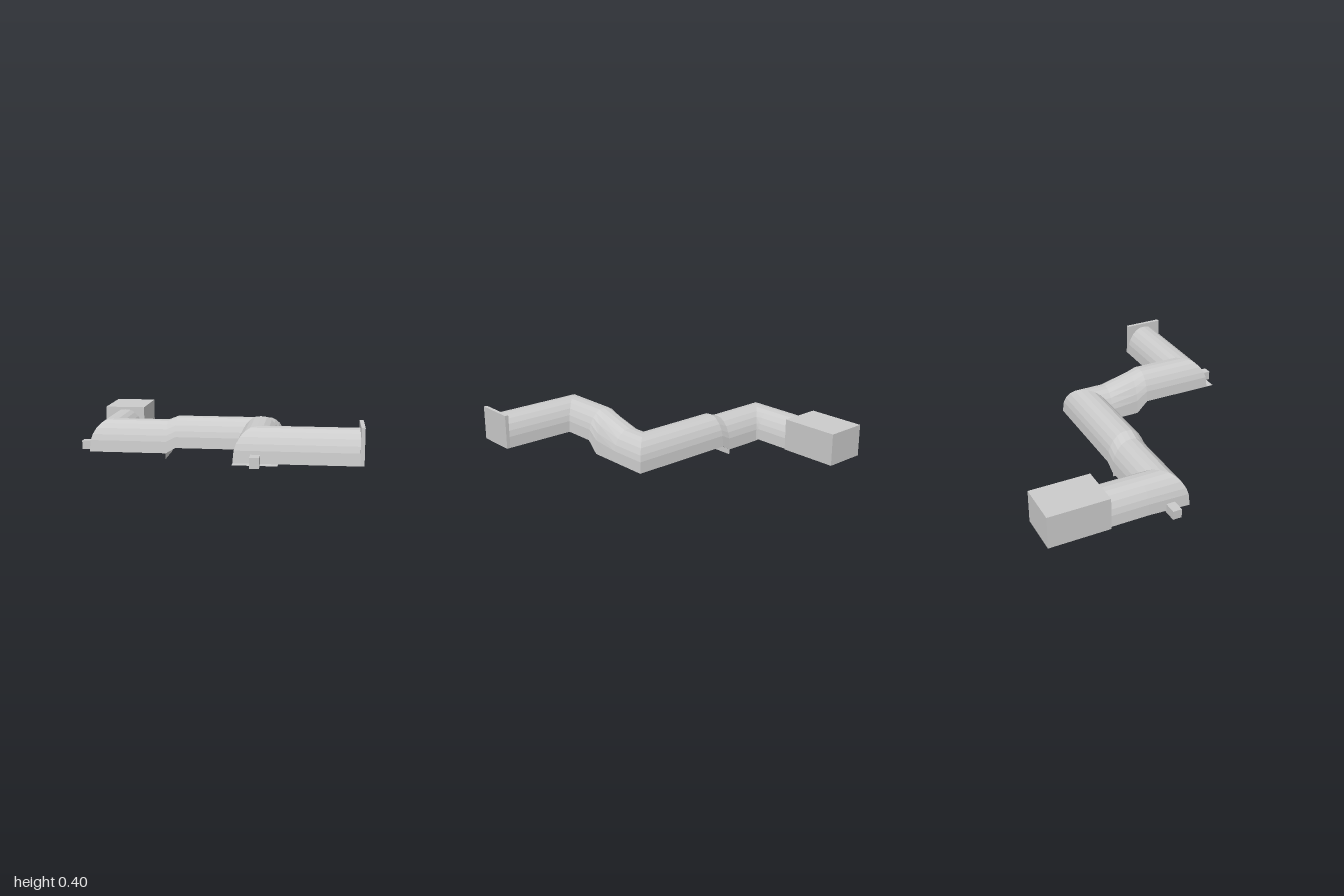
import * as THREE from 'three';

const material = new THREE.MeshStandardMaterial({ color: 0xcccccc, flatShading: true });
const sheet = new THREE.MeshStandardMaterial({ color: 0xcccccc, side: THREE.DoubleSide });

// Arch profile: across (-1..1) and height (0..1)
const half = [[1, 0], [0.95, 0.37], [0.86, 0.56], [0.7, 0.75], [0.5, 0.89], [0.28, 0.98]];
const profile = [...half, [0, 1], ...half.slice().reverse().map(([u, v]) => [-u, v])];
const HALF_WIDTH = 0.14;

// Stations along the passage: x, z, across direction (diagonal at mitred corners), floor, top
const stations = [
  [0.98, 0.705, 0, 1, 0.16, 0.37],
  [0.34, 0.705, -1, 1, 0.16, 0.37],
  [0.34, 0.33, -1, 0, 0.16, 0.37],
  [0.34, 0.25, -1, 0, 0.08, 0.347],
  [0.34, 0.05, -1, 0, 0.08, 0.29],
  [0.34, -0.095, -1, 1, 0.08, 0.29],
  [-0.29, -0.095, 0, 1, 0.08, 0.29],
  [-0.36, -0.095, 0, 1, 0.04, 0.262],
  [-0.775, -0.095, -1, 1, 0.04, 0.262],
  [-0.775, -0.25, -1, 0, 0.055, 0.262],
  [-0.775, -0.54, -1, 0, 0.055, 0.262],
];

// Lofts the closed arch section through all stations
function loftPassage() {
  const positions = [];
  const indices = [];
  const n = profile.length;
  stations.forEach(([x, z, ax, az, floor, top], i) => {
    profile.forEach(([u, v], j) => {
      const w = u * HALF_WIDTH;
      positions.push(x + ax * w, floor + v * (top - floor), z + az * w);
      if (i === stations.length - 1) return;
      const k = (j + 1) % n;
      const a = i * n + j, b = i * n + k, c = b + n, d = a + n;
      indices.push(a, b, c, a, c, d);
    });
  });
  const geometry = new THREE.BufferGeometry();
  geometry.setAttribute('position', new THREE.Float32BufferAttribute(positions, 3));
  geometry.setIndex(indices);
  geometry.computeVertexNormals();
  return geometry;
}

export function createModel() {
  const model = new THREE.Group();
  model.name = 'passage';

  const add = (name, geometry, mat = material) => {
    const mesh = new THREE.Mesh(geometry, mat);
    mesh.name = name;
    model.add(mesh);
    return mesh;
  };
  const box = (name, x0, x1, y0, y1, z0, z1) =>
    add(name, new THREE.BoxGeometry(x1 - x0, y1 - y0, z1 - z0))
      .position.set((x0 + x1) / 2, (y0 + y1) / 2, (z0 + z1) / 2);

  add('archedTunnel', loftPassage());

  // Rooms and blocks at the ends and corners
  box('backRoom', -0.93, -0.63, 0.052, 0.28, -0.94, -0.52);
  box('endPlate', 0.975, 1, 0.16, 0.397, 0.565, 0.845);
  box('frontBlock', 0.31, 0.37, 0.148, 0.215, 0.84, 0.935);
  box('sideBlock', -1, -0.905, 0.035, 0.097, -0.125, -0.063);

  // Thin floor sheet sticking out at the front corner
  const floor = add('floorSheet', new THREE.PlaneGeometry(0.28, 0.33), sheet);
  floor.rotation.x = -Math.PI / 2;
  floor.position.set(0.34, 0.159, 0.735);

  // Thin upright sheet under the step
  const riser = add('stepRiser', new THREE.PlaneGeometry(0.28, 0.08), sheet);
  riser.rotation.y = Math.PI / 2;
  riser.position.set(-0.36, 0.04, -0.09);

  return model;
}
